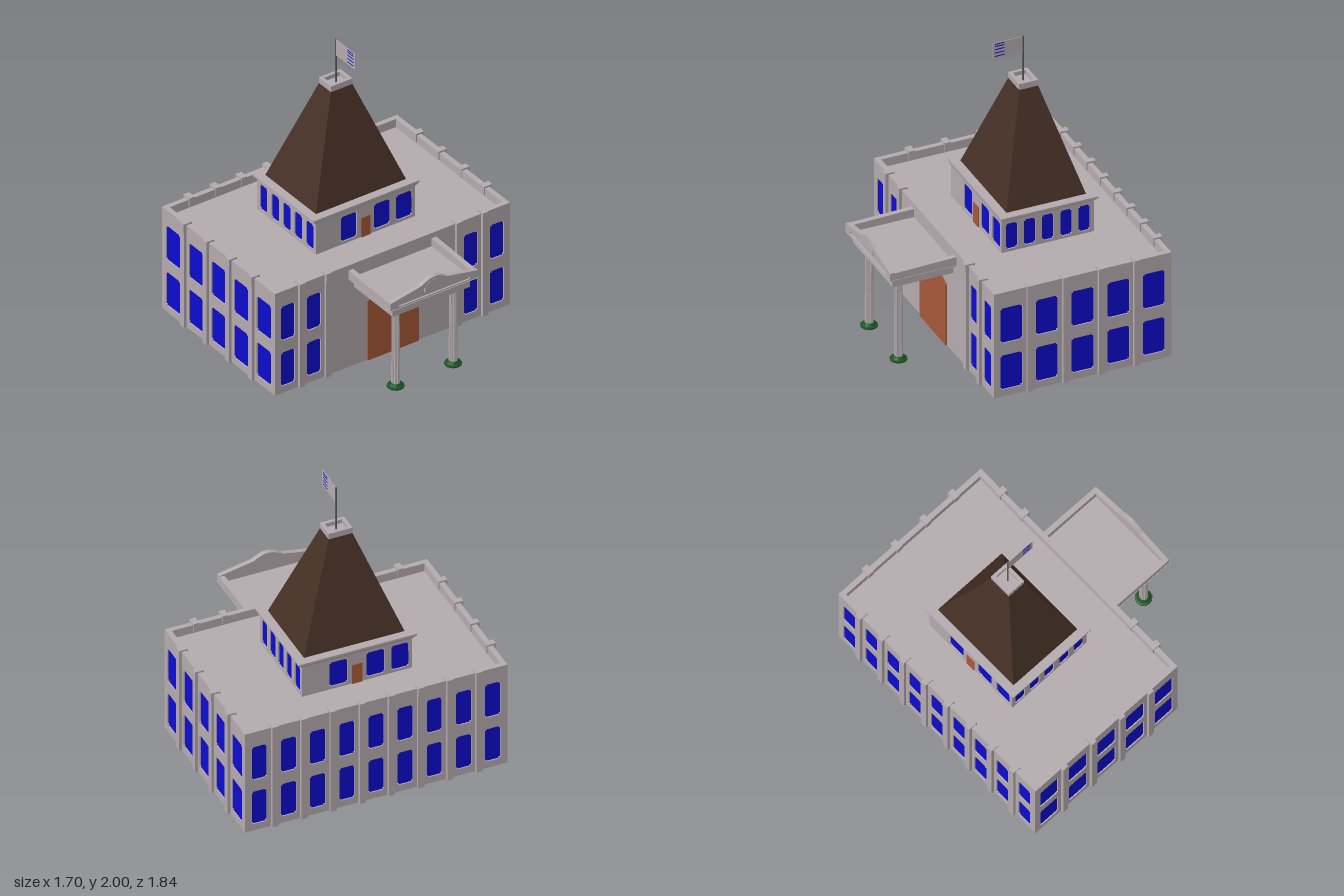
import * as THREE from 'three';

const mat = (name, color, extra = {}) => {
  const m = new THREE.MeshStandardMaterial({ color, ...extra });
  m.name = name;
  return m;
};

export function createModel() {
  const model = new THREE.Group();
  model.name = 'townHall';
  const stone = mat('stone', 0xb4aaad, { side: THREE.DoubleSide });
  const glass = mat('blueGlass', 0x0c0ccc, { side: THREE.DoubleSide });
  const brown = mat('roofBrown', 0x463025);
  const wood = mat('doorWood', 0xa6593a);
  const green = mat('greenTrim', 0x1c5524);
  const metal = mat('poleMetal', 0x5a5a60);

  const add = (name, geo, material, x = 0, y = 0, z = 0, parent = model) => {
    const mesh = new THREE.Mesh(geo, material);
    mesh.name = name;
    mesh.position.set(x, y, z);
    parent.add(mesh);
    return mesh;
  };
  // Box given by its limits
  const box = (name, material, x0, x1, y0, y1, z0, z1, parent = model) =>
    add(name, new THREE.BoxGeometry(x1 - x0, y1 - y0, z1 - z0), material,
      (x0 + x1) / 2, (y0 + y1) / 2, (z0 + z1) / 2, parent);
  const extrude = (shape, depth) =>
    new THREE.ExtrudeGeometry(shape, { depth, bevelEnabled: false, curveSegments: 10 });
  const rect = (x0, x1, y0, y1, Type = THREE.Shape) => {
    const s = new Type();
    s.moveTo(x0, y0); s.lineTo(x1, y0); s.lineTo(x1, y1); s.lineTo(x0, y1); s.closePath();
    return s;
  };
  // Tapered block: [x0, x1, halfZ] at the bottom and at the top
  const taper = (name, material, bottom, top, y0, y1) => {
    const g = new THREE.BoxGeometry(1, 1, 1);
    const p = g.attributes.position;
    for (let i = 0; i < p.count; i++) {
      const up = p.getY(i) > 0;
      const [x0, x1, hz] = up ? top : bottom;
      p.setXYZ(i, p.getX(i) > 0 ? x1 : x0, up ? y1 : y0, Math.sign(p.getZ(i)) * hz);
    }
    g.computeVertexNormals();
    return add(name, g, material);
  };

  // Wall facing +z with recessed windows [x, y0, y1, width]; corners of openings are notched
  const wall = (name, width, y0, y1, depth, windows, x, z, turn) => {
    const group = new THREE.Group();
    group.name = name;
    const shape = rect(-width / 2, width / 2, y0, y1);
    for (const [wx, a, b, w] of windows) {
      const l = wx - w / 2, r = wx + w / 2, n = 0.01;
      const hole = new THREE.Path();
      hole.setFromPoints([[l + n, a], [r - n, a], [r - n, a + n], [r, a + n], [r, b - n], [r - n, b - n],
        [r - n, b], [l + n, b], [l + n, b - n], [l, b - n], [l, a + n], [l + n, a + n]]
        .map(([px, py]) => new THREE.Vector2(px, py)));
      hole.closePath();
      shape.holes.push(hole);
      add('windowPane', new THREE.PlaneGeometry(w, b - a), glass, wx, (a + b) / 2, -0.008, group);
    }
    add('wallPanel', extrude(shape, depth), stone, 0, 0, -depth, group);
    group.position.set(x, 0, z);
    group.rotation.y = turn;
    model.add(group);
    return group;
  };
  const twoRows = (xs, w) => xs.flatMap((x) => [[x, 0.05, 0.3, w], [x, 0.39, 0.645, w]]);

  // Main building: open below, walls rising to a parapet
  const cx = -0.22, T = 0.035, H = 0.76;
  const wide = twoRows([-2, -1, 0, 1, 2].map((i) => i * 0.245), 0.152);
  const narrow = twoRows([-4, -3, -2, -1, 0, 1, 2, 3, 4].map((i) => i * 0.2), 0.106);
  const entry = twoRows([-0.8, -0.6, 0.6, 0.8], 0.106);
  wall('frontWall', 1.22, 0, H, T, wide, cx, 0.9, 0);
  wall('backWall', 1.22, 0, H, T, wide, cx, -0.9, Math.PI);
  wall('leftWall', 1.8 - 2 * T, 0, H, T, entry, 0.39, 0, Math.PI / 2);
  wall('rightWall', 1.8 - 2 * T, 0, H, T, narrow, -0.83, 0, -Math.PI / 2);

  // Pilasters, with caps that lap over the parapet
  const pilaster = (x, z, turn) => {
    const g = new THREE.Group();
    g.name = 'pilaster';
    box('pilasterShaft', stone, -0.021, 0.021, 0, H, -0.005, 0.02, g);
    box('pilasterCap', stone, -0.021, 0.021, H - 0.05, 0.772, -0.042, 0.021, g);
    g.position.set(x, 0, z);
    g.rotation.y = turn;
    model.add(g);
  };
  for (const i of [-1.5, -0.5, 0.5, 1.5]) {
    pilaster(cx + i * 0.245, 0.9, 0);
    pilaster(cx + i * 0.245, -0.9, Math.PI);
  }
  for (const z of [-0.7, -0.5, -0.3, -0.1, 0.1, 0.3, 0.5, 0.7]) {
    pilaster(-0.83, z, -Math.PI / 2);
    if (Math.abs(z) > 0.4) pilaster(0.39, z, Math.PI / 2);
  }

  // Flat roof with an opening below the tower
  const deck = rect(-0.82, 0.38, -0.89, 0.89);
  deck.holes.push(rect(-0.52, 0.08, -0.36, 0.36, THREE.Path));
  add('roofDeck', new THREE.ShapeGeometry(deck), stone, 0, 0.7, 0).rotation.x = -Math.PI / 2;

  // Arched double door
  for (const s of [-1, 1]) {
    const leaf = new THREE.Shape();
    leaf.moveTo(s * 0.002, 0);
    leaf.lineTo(s * 0.195, 0);
    leaf.lineTo(s * 0.195, 0.445);
    leaf.quadraticCurveTo(s * 0.11, 0.485, s * 0.002, 0.486);
    leaf.closePath();
    add('entranceDoorLeaf', extrude(leaf, 0.05), wood, 0.35, 0, 0).rotation.y = Math.PI / 2;
  }

  // Tower
  const towerWide = [-2, -1, 0, 1, 2].map((i) => [i * 0.125, 0.72, 0.905, 0.08]);
  const towerSide = [-0.297, -0.127, 0.127, 0.297].map((z) => [z, 0.72, 0.905, 0.123]);
  wall('towerFrontWall', 0.636, 0.7, 0.94, 0.02, towerWide, cx, 0.378, 0);
  wall('towerBackWall', 0.636, 0.7, 0.94, 0.02, towerWide, cx, -0.378, Math.PI);
  wall('towerLeftWall', 0.716, 0.7, 0.94, 0.02, towerSide, 0.098, 0, Math.PI / 2);
  wall('towerRightWall', 0.716, 0.7, 0.94, 0.02, towerSide, -0.538, 0, -Math.PI / 2);
  box('towerDoor', wood, 0.07, 0.104, 0.7, 0.845, -0.035, 0.035);
  box('towerDoor', wood, -0.544, -0.51, 0.7, 0.845, -0.035, 0.035);
  taper('towerCornice', stone, [-0.542, 0.102, 0.382], [-0.555, 0.11, 0.402], 0.93, 0.952);
  box('towerCorniceTop', stone, -0.555, 0.11, 0.95, 0.965, -0.405, 0.405);
  taper('towerRoof', brown, [-0.497, 0.05, 0.345], [-0.287, -0.16, 0.08], 0.965, 1.67);

  // Roof cap, a shallow open tray
  const cap = rect(-0.289, -0.158, -0.082, 0.082);
  cap.holes.push(rect(-0.266, -0.181, -0.06, 0.06, THREE.Path));
  add('roofCapRim', extrude(cap, 0.042), stone, 0, 1.665, 0).rotation.x = -Math.PI / 2;
  box('roofCapFloor', stone, -0.27, -0.177, 1.665, 1.678, -0.064, 0.064);

  // Flag
  add('flagPole', new THREE.CylinderGeometry(0.006, 0.006, 0.33, 10), metal, -0.222, 1.835, 0);
  box('flag', stone, -0.217, -0.01, 1.88, 1.997, -0.002, 0.002);
  for (const y of [1.988, 1.972, 1.95, 1.925, 1.9])
    box('flagStripe', glass, -0.093, -0.03, y - 0.003, y + 0.003, -0.003, 0.003);

  // Porch roof: beam block, flared cornice and raised rim
  box('porchBeam', stone, 0.38, 0.81, 0.585, 0.645, -0.295, 0.295);
  taper('porchCornice', stone, [0.38, 0.815, 0.3], [0.38, 0.85, 0.338], 0.64, 0.662);
  for (const s of [-1, 1]) {
    const rim = new THREE.Shape();
    rim.moveTo(0.38, 0.655);
    rim.lineTo(0.84, 0.655);
    rim.lineTo(0.84, 0.71);
    rim.lineTo(0.38, 0.722);
    rim.closePath();
    add('porchRim', extrude(rim, 0.035), stone, 0, 0, s > 0 ? 0.3 : -0.335);
  }

  // Pediment with a rounded crest, and its raised inner frame
  const pediment = new THREE.Shape();
  pediment.moveTo(-0.335, 0.655);
  pediment.lineTo(0.335, 0.655);
  pediment.lineTo(0.335, 0.715);
  pediment.lineTo(0.1, 0.76);
  pediment.quadraticCurveTo(0.04, 0.797, 0, 0.797);
  pediment.quadraticCurveTo(-0.04, 0.797, -0.1, 0.76);
  pediment.lineTo(-0.335, 0.715);
  pediment.closePath();
  const tympanum = new THREE.Path();
  tympanum.setFromPoints([[-0.27, 0.672], [0.27, 0.672], [0.27, 0.69], [0.08, 0.735], [-0.08, 0.735], [-0.27, 0.69]]
    .map(([a, b]) => new THREE.Vector2(a, b)));
  tympanum.closePath();
  add('pedimentBack', extrude(pediment, 0.02), stone, 0.813, 0, 0).rotation.y = Math.PI / 2;
  const frame = pediment.clone();
  frame.holes.push(tympanum);
  add('pedimentFrame', extrude(frame, 0.012), stone, 0.833, 0, 0).rotation.y = Math.PI / 2;
  const crest = new THREE.Shape();
  crest.absarc(0, 0.705, 0.075, 0, Math.PI);
  crest.closePath();
  add('pedimentCrest', extrude(crest, 0.012), stone, 0.835, 0, 0).rotation.y = Math.PI / 2;

  // Fluted columns with green bases and capitals
  const shaft = new THREE.CylinderGeometry(0.026, 0.028, 0.55, 32, 1, true).toNonIndexed();
  const p = shaft.attributes.position;
  for (let i = 0; i < p.count; i++) {
    const k = Math.round(Math.atan2(p.getZ(i), p.getX(i)) / (Math.PI / 16));
    if (k % 2) p.setXYZ(i, p.getX(i) * 0.86, p.getY(i), p.getZ(i) * 0.86);
  }
  shaft.computeVertexNormals();
  const footProfile = [[0, 0], [0.056, 0], [0.056, 0.011], [0.044, 0.014], [0.034, 0.028], [0, 0.028]]
    .map(([a, b]) => new THREE.Vector2(a, b));
  const foot = new THREE.LatheGeometry(footProfile, 12).toNonIndexed();
  foot.computeVertexNormals();
  for (const z of [-0.22, 0.22]) {
    add('columnShaft', shaft, stone, 0.735, 0.293, z);
    add('columnBase', foot, green, 0.735, 0, z);
    add('columnCapital', foot, green, 0.735, 0.587, z).rotation.x = Math.PI;
  }
  return model;
}
